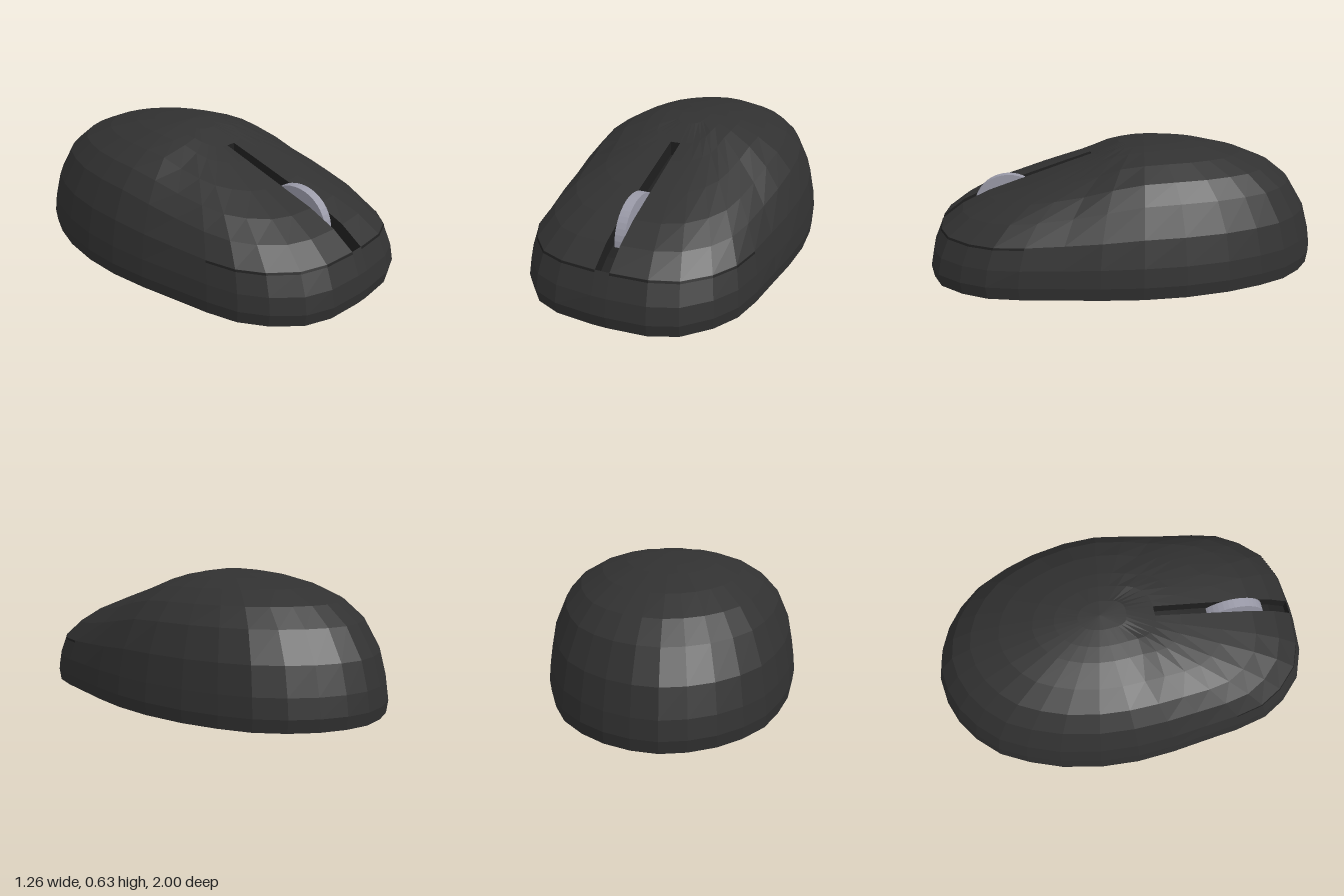
import * as THREE from 'three';

// Half outline of the body, front to rear: [x, z]
const OUTLINE = [[0.035, 0.995], [0.22, 0.98], [0.35, 0.93], [0.46, 0.82], [0.53, 0.7], [0.565, 0.55],
  [0.59, 0.36], [0.615, 0.18], [0.63, -0.02], [0.62, -0.22], [0.58, -0.43], [0.52, -0.6],
  [0.45, -0.74], [0.35, -0.85], [0.24, -0.93], [0.12, -0.98], [0, -1]];
// Rings from base to crown: [scale, height]
const RINGS = [[0.99, 0], [1, 0.06], [0.985, 0.15], [0.945, 0.28], [0.85, 0.42], [0.73, 0.505],
  [0.56, 0.567], [0.37, 0.608], [0.25, 0.622], [0.12, 0.631], [0, 0.634]];
// Height factor along z, lowering the front buttons
const SLOPE = [[-0.1, 1], [0.05, 0.97], [0.175, 0.897], [0.307, 0.847], [0.516, 0.785],
  [0.703, 0.758], [0.835, 0.765], [0.94, 0.81], [1, 0.85]];
const SLOT_FIRST = 3, SLOT_LAST = 8, SLOT_DEPTH = 0.07;

function slope(z) {
  if (z <= SLOPE[0][0]) return 1;
  for (let i = 1; i < SLOPE.length; i++) {
    const [z0, h0] = SLOPE[i - 1], [z1, h1] = SLOPE[i];
    if (z <= z1) return h0 + (h1 - h0) * (z - z0) / (z1 - z0);
  }
  return 0.85;
}

function ringPoints([s, height]) {
  const half = OUTLINE.map(([x, z], j) => {
    const px = j > 0 ? x * s : s >= 0.25 ? 0.0214 + 0.0144 * s : s * 0.1;
    const pz = z * s - 0.1 * (1 - s);
    const weight = Math.min(1, height / 0.42);
    return new THREE.Vector3(px, height * (1 - weight * (1 - slope(pz))), pz);
  });
  const mirrored = half.slice(0, -1).reverse().map(p => new THREE.Vector3(-p.x, p.y, p.z));
  return [...half, ...mirrored];
}

// Collects quads (counter-clockwise from outside) into a geometry
function quadGeometry(quads) {
  const pos = [];
  for (const [a, b, c, d] of quads) for (const p of [a, b, c, a, c, d]) pos.push(p.x, p.y, p.z);
  const geometry = new THREE.BufferGeometry();
  geometry.setAttribute('position', new THREE.Float32BufferAttribute(pos, 3));
  geometry.computeVertexNormals();
  return geometry;
}

export function createModel() {
  const group = new THREE.Group();
  const material = (name, color) => {
    const m = new THREE.MeshStandardMaterial({ color, side: THREE.DoubleSide, flatShading: true });
    m.name = name;
    return m;
  };
  const body = material('charcoal', 0x313131);
  const dark = material('dark recess', 0x1f1f1f);
  const grey = material('wheel grey', 0x9a9aa8);
  const add = (name, geometry, mat) => {
    const mesh = new THREE.Mesh(geometry, mat);
    mesh.name = name;
    group.add(mesh);
    return mesh;
  };

  // Hollow shell, open below, with a gap along the front centre for the slot
  const rings = RINGS.map(ringPoints);
  const n = rings[0].length;
  const shell = [];
  for (let i = 0; i < rings.length - 1; i++) {
    for (let j = 0; j < n; j++) {
      if (j === n - 1 && i >= SLOT_FIRST && i < SLOT_LAST) continue;
      const k = (j + 1) % n;
      shell.push([rings[i][j], rings[i][k], rings[i + 1][k], rings[i + 1][j]]);
    }
  }
  add('shell', quadGeometry(shell), body);

  // Slot floor and walls
  const slot = [];
  const low = p => new THREE.Vector3(p.x, p.y - SLOT_DEPTH, p.z);
  for (let i = SLOT_FIRST; i < SLOT_LAST; i++) {
    const l0 = rings[i][n - 1], r0 = rings[i][0], l1 = rings[i + 1][n - 1], r1 = rings[i + 1][0];
    slot.push([low(l0), low(r0), low(r1), low(l1)], [low(r0), r0, r1, low(r1)], [l0, low(l0), low(l1), l1]);
    if (i === SLOT_FIRST) slot.push([r0, low(r0), low(l0), l0]);
    if (i === SLOT_LAST - 1) slot.push([low(l1), low(r1), r1, l1]);
  }
  add('wheelSlot', quadGeometry(slot), dark);

  // Thin seam beneath the buttons, around the front and along each side
  const seam = [];
  const edge = rings[SLOT_FIRST];
  const offset = (p, s, dy) => new THREE.Vector3(p.x * s, p.y + dy, p.z * s);
  for (let j = 0; j < n - 1; j++) {
    const a = edge[j], b = edge[j + 1];
    if (Math.min(a.z, b.z) < 0.45) continue;
    seam.push([offset(a, 1.006, -0.01), offset(b, 1.006, -0.01), offset(b, 1.002, 0), offset(a, 1.002, 0)]);
  }
  add('buttonSeam', quadGeometry(seam), dark);

  // Scroll wheel
  const wheel = add('scrollWheel', new THREE.CylinderGeometry(0.18, 0.18, 0.048, 40), grey);
  wheel.rotation.z = Math.PI / 2;
  wheel.position.set(0, 0.277, 0.6);

  // Wheel housing inside the shell: side profile extruded across x
  const profile = new THREE.Shape([[0.7, 0.01], [0.7, 0.31], [0.355, 0.41], [0.25, 0.25], [0.3, 0.01]]
    .map(([z, y]) => new THREE.Vector2(-z, y)));
  const housing = new THREE.ExtrudeGeometry(profile, { depth: 0.07, bevelEnabled: false });
  housing.translate(0, 0, -0.035).rotateY(Math.PI / 2);
  add('wheelHousing', housing, body);

  return group;
}
